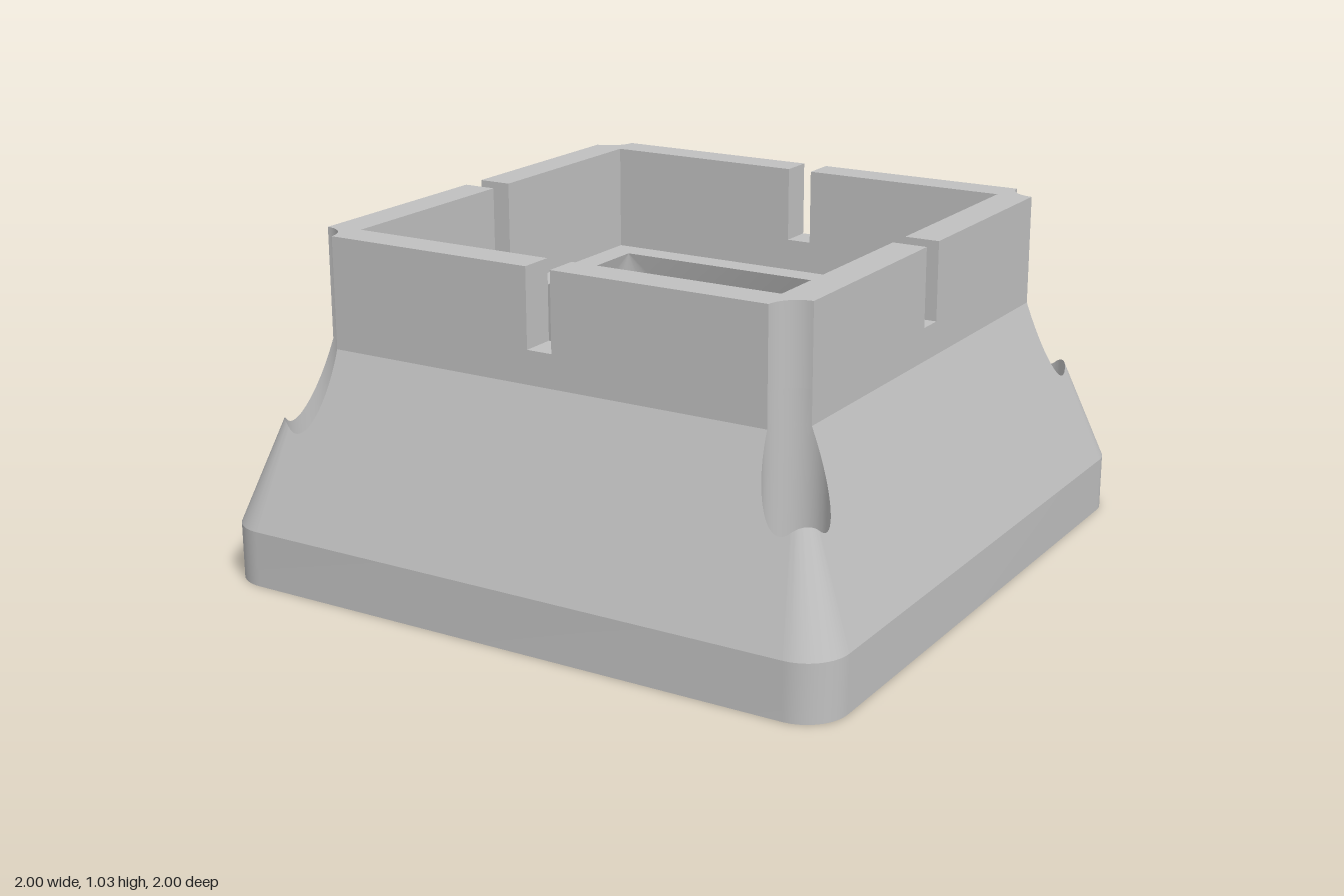
import * as THREE from 'three';
import { mergeGeometries, toCreasedNormals } from 'three/addons/utils/BufferGeometryUtils.js';

const FLANGE = 0.17, NECK = 0.7, TOP = 1.035, SLOT_Y = 0.8, SLOT = 0.04;
const A = 0.795;              // half width of the upper collar
const I = 0.69;               // half width inside the collar
const S = 0.605;              // half width of the square duct opening
const R = 0.94;               // radius of the round duct opening
const CORNER = 0.125;         // corner radius of the flange
const HOLE = 0.8, HOLE_R = 0.09;

const v3 = (x, y, z) => new THREE.Vector3(x, y, z);
const v2 = (x, y) => new THREE.Vector2(x, y);

// points on a circle in plan, centred on (c, c)
function arc(c, r, from, to, n) {
  return Array.from({ length: n + 1 }, (_, i) => {
    const t = from + (to - from) * i / n;
    return v2(c + r * Math.cos(t), c + r * Math.sin(t));
  });
}

// surface between two rows of points, leaving out empty triangles
function strip(lo, up) {
  const pos = [];
  const tri = (a, b, c) => {
    if (a.distanceTo(b) < 1e-6 || b.distanceTo(c) < 1e-6 || a.distanceTo(c) < 1e-6) return;
    for (const p of [a, b, c]) pos.push(p.x, p.y, p.z);
  };
  for (let i = 0; i < lo.length - 1; i++) {
    tri(lo[i], lo[i + 1], up[i + 1]);
    tri(lo[i], up[i + 1], up[i]);
  }
  const g = new THREE.BufferGeometry();
  g.setAttribute('position', new THREE.Float32BufferAttribute(pos, 3));
  g.computeVertexNormals();
  return g;
}

const atHeight = (pts, y) => pts.map(p => v3(p.x, y, p.y));

function squareShape(h) {
  return new THREE.Shape([v2(-h, -h), v2(h, -h), v2(h, h), v2(-h, h)]);
}

export function createModel() {
  const model = new THREE.Group();
  model.name = 'ductAdapter';
  const grey = new THREE.MeshStandardMaterial({ color: 0xc0c0c0 });
  grey.name = 'grey plastic';

  function add(name, geometry) {
    const mesh = new THREE.Mesh(geometry, grey);
    mesh.name = name;
    model.add(mesh);
  }
  // repeat a quarter around the vertical axis
  function addFour(name, quarter) {
    const copies = [0, 1, 2, 3].map(k => quarter.clone().rotateY(k * Math.PI / 2));
    add(name, toCreasedNormals(mergeGeometries(copies), Math.PI / 6));
  }

  // plan curves of one corner
  const k = 1 - CORNER;
  const corner = arc(k, CORNER, 0, Math.PI / 2, 16);
  const slopeY = x => NECK - (x - A) / (1 - A) * (NECK - FLANGE);
  // where each ruling of the corner cone meets the screw hole
  const coneRim = corner.map(q => {
    const dx = q.x - A, dz = q.y - A, o = A - HOLE;
    const a = dx * dx + dz * dz, b = o * (dx + dz), c = 2 * o * o - HOLE_R ** 2;
    const t = (-b + Math.sqrt(b * b - a * c)) / a;
    return v3(A + t * dx, NECK - t * (NECK - FLANGE), A + t * dz);
  });
  const startAngle = Math.atan2(coneRim[0].z - HOLE, coneRim[0].x - HOLE);
  const bite = Math.asin((HOLE - A) / HOLE_R);
  const sideArc = arc(HOLE, HOLE_R, startAngle, -Math.PI / 2 - bite, 20);
  const innerArc = arc(HOLE, HOLE_R, -Math.PI / 2 - bite, -Math.PI + bite, 14);

  // flange side walls
  const outline = [v2(1, -k), ...corner];
  addFour('flangeWall', strip(atHeight(outline, FLANGE), atHeight(outline, 0)));

  // sloping sides, cut by the screw holes
  const half = [v2(1, k), ...sideArc];
  const mirrored = half.map(p => v2(p.x, -p.y)).reverse();
  const slope = new THREE.ShapeGeometry(new THREE.Shape([...half, ...mirrored])).rotateX(-Math.PI / 2);
  const pos = slope.attributes.position;
  for (let i = 0; i < pos.count; i++) pos.setY(i, slopeY(pos.getX(i)));
  addFour('slopingSide', slope);

  // conical corners below the screw holes
  addFour('slopingCorner', strip(coneRim, atHeight(corner, FLANGE)));

  // screw hole walls
  const rim = [
    ...sideArc.map(p => v3(p.x, slopeY(p.x), p.y)).reverse(),
    ...coneRim,
    ...sideArc.map(p => v3(p.y, slopeY(p.x), p.x)),
    ...atHeight(innerArc, NECK).reverse(),
  ];
  addFour('screwHole', strip(rim.map(p => v3(p.x, 0, p.z)), rim));

  // collar: a full ring below, four slotted corner pieces above
  function collar(gap, y0, y1) {
    const shape = new THREE.Shape([
      v2(A, gap), ...innerArc, v2(gap, A), v2(gap, I), v2(I, I), v2(I, gap),
    ]);
    return new THREE.ExtrudeGeometry(shape, { depth: y1 - y0, bevelEnabled: false })
      .rotateX(-Math.PI / 2).translate(0, y0, 0);
  }
  addFour('collarBase', collar(0, NECK, SLOT_Y));
  addFour('slottedCollar', collar(SLOT, SLOT_Y, TOP));

  // ledge inside the collar
  const ledge = squareShape(I + 0.01);
  ledge.holes.push(squareShape(S));
  add('innerLedge', new THREE.ShapeGeometry(ledge).rotateX(-Math.PI / 2).translate(0, NECK, 0));

  // duct lining, round below and square above
  const round = arc(0, R, 0, Math.PI / 2, 32);
  addFour('ductLining', strip(
    atHeight([round[0], ...round], 0),
    [v3(S, NECK, -S), ...round.map(() => v3(S, NECK, S))],
  ));

  // underside with the round opening and four screw holes
  const turn = (p, q) => [v2(p.x, p.y), v2(-p.y, p.x), v2(-p.x, -p.y), v2(p.y, -p.x)][q];
  const base = new THREE.Shape([0, 1, 2, 3].flatMap(q => corner.map(p => turn(p, q))));
  const cut = (x, y, r) => base.holes.push(new THREE.Path().absarc(x, y, r, 0, Math.PI * 2, true));
  cut(0, 0, R);
  for (const x of [-HOLE, HOLE]) for (const z of [-HOLE, HOLE]) cut(x, z, HOLE_R);
  add('underside', new THREE.ShapeGeometry(base, 64).rotateX(Math.PI / 2));

  return model;
}
